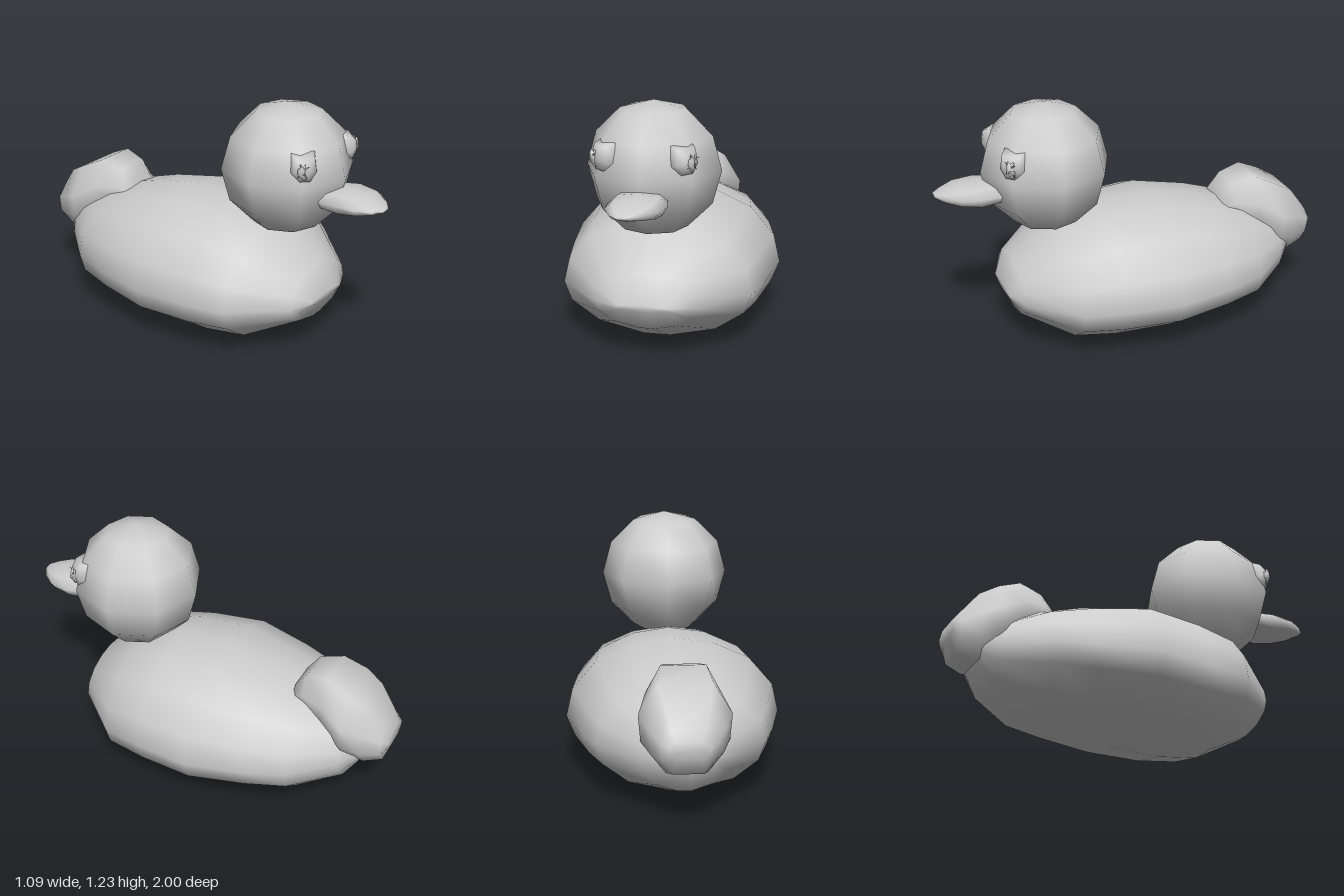
import * as THREE from 'three';

const grey = new THREE.MeshStandardMaterial({ color: 0xcccccc });
grey.name = 'soft grey';

// Half outlines of the cross-sections, from bottom to top, scaled to -1..1
const bodyHalf = [[0.14, -1], [0.62, -0.79], [0.92, -0.4], [1, 0], [0.94, 0.36], [0.715, 0.72], [0.37, 0.93]];
const billHalf = [[0.8, -0.7], [1, 0], [0.7, 0.75]];
const tailHalf = [[0.55, -1], [0.95, -0.45], [1, 0.25], [0.6, 1]];

// Smooth closed skin through sections [z, bottom, middle, top, halfWidth, xShift], front to back
function loft(half, sections, poles) {
  const ring = [
    ...(poles ? [[0, -1]] : []), ...half,
    ...(poles ? [[0, 1]] : []), ...half.slice().reverse().map(([x, y]) => [-x, y]),
  ];
  const n = ring.length, pos = [], index = [];
  for (const [z, lo, mid, hi, w, shift = 0] of sections) {
    for (const [x, y] of ring) pos.push(shift + x * w, mid + y * (y > 0 ? hi - mid : mid - lo), z);
  }
  const rows = sections.length;
  for (let i = 0; i < rows - 1; i++) {
    for (let j = 0; j < n; j++) {
      const a = i * n + j, b = i * n + (j + 1) % n;
      index.push(a, a + n, b, a + n, b + n, b);
    }
  }
  // End caps
  const front = pos.length / 3, back = front + 1, first = sections[0], last = sections[rows - 1];
  pos.push(first[5] || 0, first[2], first[0], last[5] || 0, last[2], last[0]);
  for (let j = 0; j < n; j++) {
    const k = (j + 1) % n, base = (rows - 1) * n;
    index.push(front, j, k, back, base + k, base + j);
  }
  const geo = new THREE.BufferGeometry();
  geo.setAttribute('position', new THREE.Float32BufferAttribute(pos, 3));
  geo.setIndex(index);
  geo.computeVertexNormals();
  return geo;
}

function add(parent, name, geometry) {
  const mesh = new THREE.Mesh(geometry, grey);
  mesh.name = name;
  parent.add(mesh);
  return mesh;
}

export function createModel() {
  const duck = new THREE.Group();
  duck.name = 'duck';

  add(duck, 'body', loft(bodyHalf, [
    [0.68, 0.25, 0.27, 0.285, 0.14],
    [0.63, 0.15, 0.27, 0.43, 0.25],
    [0.39, 0.025, 0.27, 0.61, 0.475],
    [0.18, 0.0, 0.27, 0.66, 0.51],
    [-0.1, 0.01, 0.28, 0.68, 0.545],
    [-0.38, 0.03, 0.28, 0.63, 0.475],
    [-0.58, 0.05, 0.29, 0.57, 0.41],
    [-0.79, 0.13, 0.3, 0.48, 0.22],
    [-0.86, 0.24, 0.32, 0.4, 0.14],
  ], true));

  add(duck, 'tail', loft(tailHalf, [
    [-0.49, 0.5, 0.55, 0.6, 0.13],
    [-0.55, 0.46, 0.56, 0.68, 0.145],
    [-0.67, 0.38, 0.53, 0.71, 0.18],
    [-0.79, 0.29, 0.46, 0.655, 0.22],
    [-0.88, 0.26, 0.43, 0.605, 0.18],
    [-0.97, 0.285, 0.41, 0.49, 0.13],
    [-1.0, 0.37, 0.41, 0.45, 0.1],
  ], false));

  // Eight-sided head
  add(duck, 'head', new THREE.SphereGeometry(0.33, 8, 6)).position.set(0, 0.903, 0.437);

  add(duck, 'bill', loft(billHalf, [
    [1.0, 0.805, 0.812, 0.82, 0.03, -0.02],
    [0.96, 0.788, 0.815, 0.835, 0.08, -0.01],
    [0.89, 0.77, 0.82, 0.858, 0.13],
    [0.79, 0.752, 0.82, 0.87, 0.14, 0.005],
    [0.7, 0.757, 0.815, 0.86, 0.125],
    [0.62, 0.765, 0.815, 0.85, 0.11],
  ], true));

  // Eyes: a blunt lump with a small crumpled pupil, mirrored
  for (const side of [-1, 1]) {
    const eye = new THREE.Group();
    eye.name = side > 0 ? 'leftEye' : 'rightEye';
    eye.position.set(side * 0.185, 1.0, 0.645);
    eye.rotation.y = side * 0.75;
    duck.add(eye);

    const lump = add(eye, 'eyeball', loft([[0.45, -1], [1, -0.3], [0.85, 0.85]], [
      [0.055, -0.03, 0, 0.03, 0.028],
      [0.035, -0.062, 0, 0.062, 0.056],
      [-0.01, -0.078, 0, 0.085, 0.068],
      [-0.05, -0.06, 0, 0.065, 0.055],
    ], false));
    lump.rotation.x = -0.1;

    const pupilGeo = new THREE.SphereGeometry(1, 8, 5);
    const p = pupilGeo.attributes.position;
    for (let i = 0; i < p.count; i++) {
      const x = p.getX(i), y = p.getY(i), z = p.getZ(i);
      const k = 0.85 + 0.35 * Math.sin(7 * x + 11 * y + 5 * z);
      p.setXYZ(i, x * k, y * k, z * k);
    }
    pupilGeo.computeVertexNormals();
    const pupil = add(eye, 'pupil', pupilGeo);
    pupil.scale.set(0.026, 0.042, 0.02);
    pupil.position.set(side * 0.015, 0, 0.05);

    // Ragged slivers around the pupil
    for (let i = 0; i < 4; i++) {
      const a = 0.6 + i * 1.6;
      const sliver = add(eye, 'pupilSliver', new THREE.ConeGeometry(0.008, 0.045, 3));
      sliver.position.set(side * 0.015 + Math.cos(a) * 0.018, Math.sin(a) * 0.03, 0.062);
      sliver.rotation.set(0.5, 0, a - Math.PI / 2);
    }
  }
  return duck;
}
